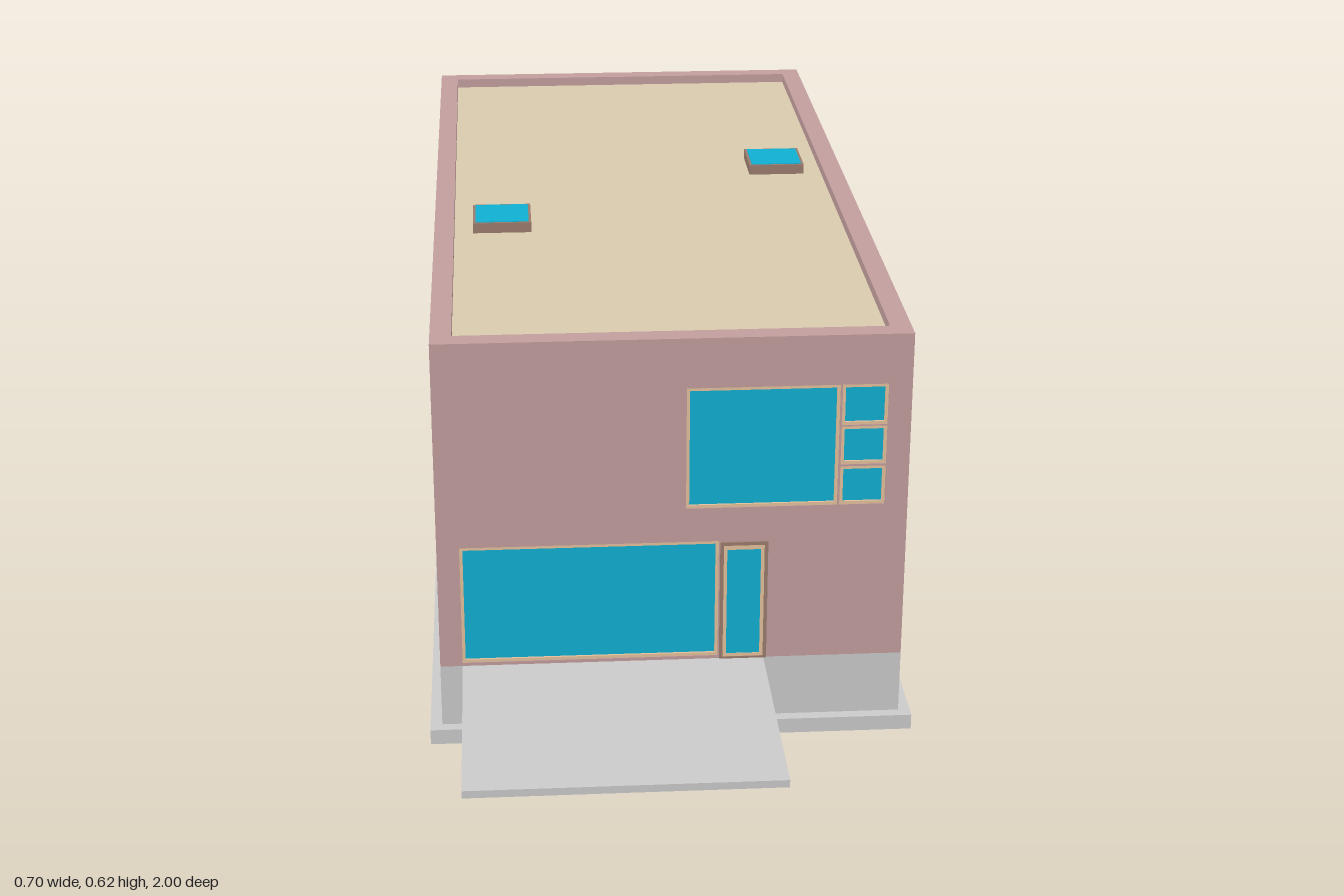
import * as THREE from 'three';

const mat = (color) => new THREE.MeshStandardMaterial({ color });
const grey = mat(0xcccccc), brick = mat(0xc49f9f), glass = mat(0x10b0d3), roofTan = mat(0xdaccae),
  frameTan = mat(0xe6c19c), trim = mat(0x9c7d6e), doorTan = mat(0xd5b994), dark = mat(0x646668);

const W = 0.332, D = 0.67, T = 0.03;            // half width, half depth, wall thickness
const BASE = 0.118, TOP = 0.615, ROOF = 0.6;

function add(parent, name, geometry, material) {
  const m = new THREE.Mesh(geometry, material);
  m.name = name;
  parent.add(m);
  return m;
}

// Box given by its limits on each axis
function box(parent, name, material, x0, x1, y0, y1, z0, z1) {
  const m = add(parent, name, new THREE.BoxGeometry(x1 - x0, y1 - y0, z1 - z0), material);
  m.position.set((x0 + x1) / 2, (y0 + y1) / 2, (z0 + z1) / 2);
  return m;
}

const poly = (pts) => pts.map(([x, y]) => new THREE.Vector2(x, y));
const rect = (x0, x1, y0, y1) => poly([[x0, y0], [x1, y0], [x1, y1], [x0, y1]]);

function plate(outer, holes, depth) {
  const s = new THREE.Shape(outer);
  holes.forEach((h) => s.holes.push(new THREE.Path(h)));
  return new THREE.ExtrudeGeometry(s, { depth, bevelEnabled: false });
}

// Window set into an opening: rectangular frame around a pane
function windowUnit(parent, [x0, x1, y0, y1], face, f = 0.0045) {
  const g = new THREE.Group();
  g.name = 'window';
  parent.add(g);
  const inner = rect(x0 + f, x1 - f, y0 + f, y1 - f);
  add(g, 'windowFrame', plate(rect(x0, x1, y0, y1), [inner], 0.02), frameTan).position.z = face - 0.021;
  box(g, 'windowPane', glass, x0 + f, x1 - f, y0 + f, y1 - f, face - 0.02, face - 0.004);
}

// Wall facing +z at distance "face", with windows cut through it
function wall(name, half, face, windows) {
  const g = new THREE.Group();
  g.name = name;
  const holes = windows.map((w) => rect(...w));
  add(g, 'wallPanel', plate(rect(-half, half, BASE, TOP), holes, T), brick).position.z = face - T;
  windows.forEach((w) => windowUnit(g, w, face));
  return g;
}

// One half of the house; the other is the same turned half a circle
function houseHalf() {
  const g = new THREE.Group();

  const front = wall('endWall', W, D, [
    [-0.3, 0.066, 0.123, 0.306],
    [0.019, 0.232, 0.358, 0.541],
    [0.235, 0.299, 0.48, 0.541],
    [0.235, 0.299, 0.42, 0.478],
    [0.235, 0.299, 0.358, 0.417],
  ]);
  g.add(front);

  // Glazed door to the terrace
  const door = new THREE.Group();
  door.name = 'glassDoor';
  front.add(door);
  const leaf = rect(0.073, 0.131, 0.121, 0.299), pane = rect(0.078, 0.126, 0.126, 0.292);
  add(door, 'doorTrim', plate(rect(0.068, 0.136, BASE, 0.304), [leaf], 0.004), trim).position.z = D - 0.002;
  add(door, 'doorLeaf', plate(leaf, [pane], 0.003), frameTan).position.z = D - 0.002;
  box(door, 'doorPane', glass, 0.078, 0.126, 0.126, 0.292, D - 0.002, D + 0.0005);

  // Side wall, drawn facing +z and turned to face +x
  const side = wall('sideWall', D - T, W, [
    [-0.277, -0.223, 0.36, 0.53],
    [0.223, 0.277, 0.123, 0.294],
    [0.354, 0.418, 0.48, 0.541],
    [0.354, 0.418, 0.42, 0.478],
    [0.354, 0.418, 0.358, 0.417],
    [0.422, 0.638, 0.358, 0.541],
  ]);
  const panel = rect(-0.597, -0.503, BASE, 0.27);
  add(side, 'sideDoorTrim', plate(rect(-0.6, -0.5, BASE, 0.273), [panel], 0.004), trim).position.z = W - 0.002;
  box(side, 'sideDoor', doorTan, -0.597, -0.503, BASE, 0.27, W - 0.002, W + 0.001);
  side.rotation.y = Math.PI / 2;
  g.add(side);

  // Terrace slab
  box(g, 'terrace', grey, -0.3, 0.132, 0.107, BASE, D, 1);

  // Roof light
  const light = new THREE.Group();
  light.name = 'skylight';
  g.add(light);
  box(light, 'skylightFrame', trim, -0.273, -0.183, ROOF, 0.616, 0.087, 0.177);
  box(light, 'skylightPane', glass, -0.269, -0.187, 0.61, 0.617, 0.091, 0.173);
  return g;
}

// Horizontal ring with two cells parted by a stepped cross wall (half thickness t)
function cellRing(parent, name, hx, hz, ix, iz, t, y0, y1) {
  const c = 0.072;
  const cell = [[-ix, c + t], [t, c + t], [t, -c + t], [ix, -c + t], [ix, iz], [-ix, iz]];
  const turned = cell.map(([x, z]) => [-x, -z]);
  // Plan y becomes -z when laid flat
  const flip = (pts) => poly(pts.map(([x, z]) => [x, -z]));
  const m = add(parent, name, plate(rect(-hx, hx, -hz, hz), [flip(cell), flip(turned)], y1 - y0), grey);
  m.rotation.x = -Math.PI / 2;
  m.position.y = y0;
}

export function createModel() {
  const house = new THREE.Group();
  house.name = 'house';

  // Footing and foundation walls, open below
  cellRing(house, 'footing', 0.349, 0.686, 0.287, 0.624, 0.034, 0, 0.023);
  cellRing(house, 'foundation', W, D, W - T, D - T, 0.016, 0.023, BASE);

  // Ground floor and flat roof inside the walls
  box(house, 'floor', dark, -W + T, W - T, BASE - 0.004, BASE + 0.002, -D + T, D - T);
  box(house, 'roof', roofTan, -W + T, W - T, ROOF - 0.02, ROOF, -D + T, D - T);

  for (let i = 0; i < 2; i++) {
    const half = houseHalf();
    half.name = i ? 'backHalf' : 'frontHalf';
    half.rotation.y = i * Math.PI;
    house.add(half);
  }
  return house;
}
